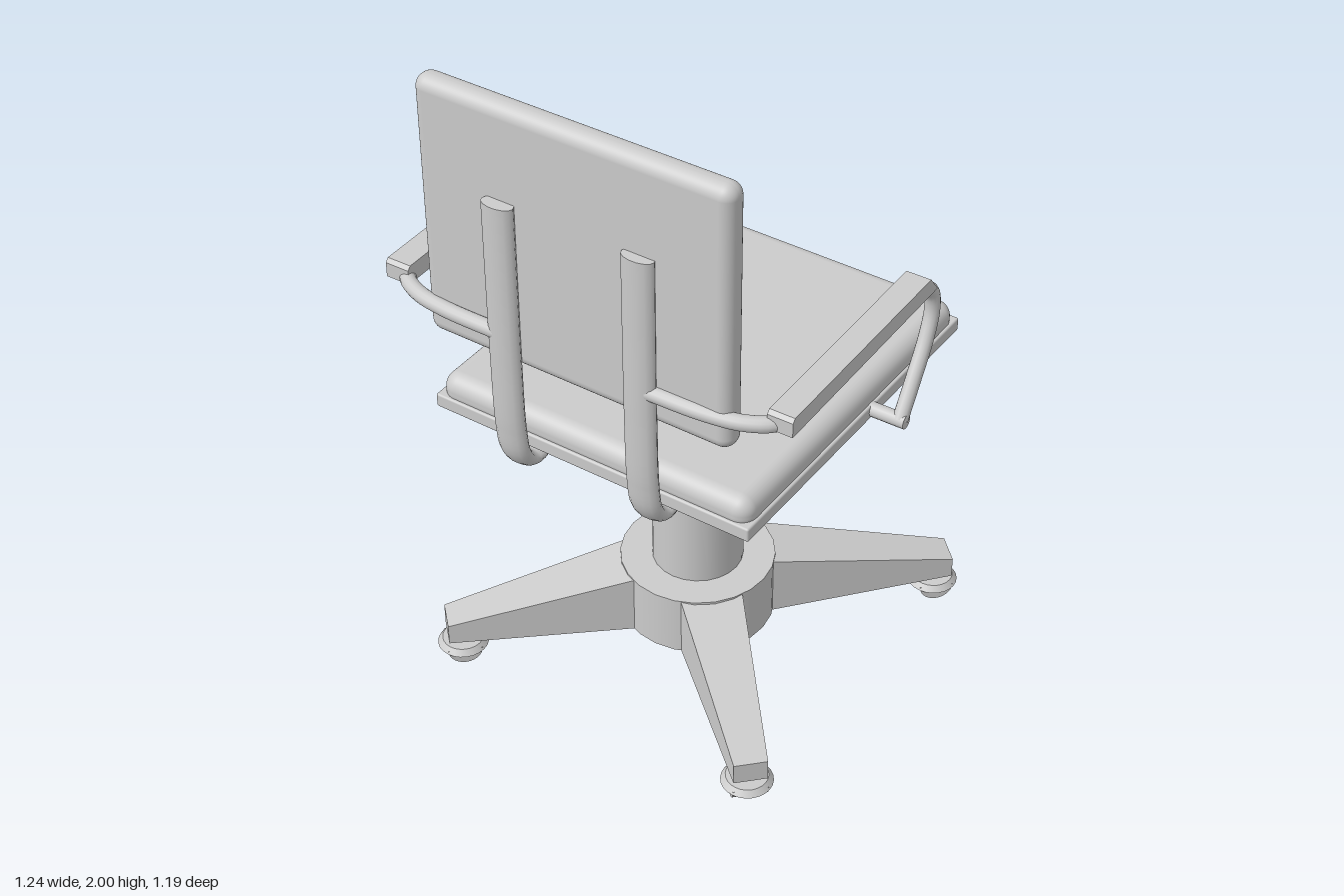
import * as THREE from 'three';
import { RoundedBoxGeometry } from 'three/addons/geometries/RoundedBoxGeometry.js';

const material = new THREE.MeshStandardMaterial({ color: 0xcccccc, side: THREE.DoubleSide });

function add(parent, name, geometry, x = 0, y = 0, z = 0) {
  const mesh = new THREE.Mesh(geometry, material);
  mesh.name = name;
  mesh.position.set(x, y, z);
  parent.add(mesh);
  return mesh;
}

function tube(points, radius, segments) {
  const curve = new THREE.CatmullRomCurve3(points.map(p => new THREE.Vector3(...p)));
  return new THREE.TubeGeometry(curve, segments, radius, 14);
}

// Leg pointing along +x: tapers in width and slopes down to its tip
function legGeometry(inner, outer) {
  const geometry = new THREE.BoxGeometry(outer - inner, 0.19, 0.18).toNonIndexed();
  geometry.translate((inner + outer) / 2, 0.175, 0);
  const p = geometry.attributes.position;
  for (let i = 0; i < p.count; i++) {
    if (p.getX(i) < (inner + outer) / 2) continue;
    p.setZ(i, p.getZ(i) * 0.53);
    if (p.getY(i) > 0.2) p.setY(i, 0.145);
  }
  geometry.computeVertexNormals();
  return geometry;
}

function createBase() {
  const base = new THREE.Group();
  base.name = 'base';
  base.position.set(0.008, 0, -0.005);
  add(base, 'hub', new THREE.CylinderGeometry(0.225, 0.225, 0.19, 24), 0, 0.175, 0);
  add(base, 'lowerColumn', new THREE.CylinderGeometry(0.132, 0.132, 0.36, 24), 0, 0.435, 0);
  add(base, 'upperColumn', new THREE.CylinderGeometry(0.104, 0.104, 0.34, 24), 0, 0.77, 0);

  // Four diagonal legs, each with a caster
  for (let i = 0; i < 4; i++) {
    const leg = new THREE.Group();
    leg.name = 'legWithCaster';
    leg.rotation.y = -0.018 + Math.PI / 4 + i * Math.PI / 2;
    const reach = i < 2 ? 0.76 : 0.74;
    add(leg, 'leg', legGeometry(0.19, reach));
    const r = reach - 0.045;
    add(leg, 'casterStem', new THREE.CylinderGeometry(0.025, 0.025, 0.04, 12), r, 0.07, 0);
    add(leg, 'casterCap', new THREE.CylinderGeometry(0.06, 0.074, 0.018, 24), r, 0.051, 0);
    // Half-round wheel below the cap
    const wheel = new THREE.CylinderGeometry(0.05, 0.05, 0.1, 14, 1, false, -Math.PI / 2, Math.PI);
    wheel.rotateX(Math.PI / 2);
    if (wheel.attributes.position.getY(0) > 0.04) wheel.rotateZ(Math.PI);
    wheel.computeBoundingBox();
    if (wheel.boundingBox.max.y > 0.02) wheel.rotateZ(Math.PI);
    add(leg, 'casterWheel', wheel, r, 0.05, 0);
    base.add(leg);
  }
  return base;
}

function createSeatAndBack() {
  const group = new THREE.Group();
  group.name = 'seatAndBack';
  group.rotation.y = -0.018;
  add(group, 'seatPlate', new RoundedBoxGeometry(1.0, 0.042, 1.085, 2, 0.006), 0.006, 0.945, -0.03);
  add(group, 'seatCushion', new RoundedBoxGeometry(0.985, 0.1, 1.07, 5, 0.046), 0.006, 0.98, -0.03);
  add(group, 'backrest', new RoundedBoxGeometry(0.935, 0.77, 0.076, 5, 0.036), 0.011, 1.615, 0.526);
  return group;
}

// Flat oval bar running from behind the backrest to under the seat
function createBackSupport(x) {
  const support = new THREE.Group();
  support.name = 'backSupport';
  support.position.x = x;
  support.scale.x = 1.9;
  add(support, 'supportBar', tube([
    [0, 1.73, 0.574], [0, 1.5, 0.574], [0, 1.25, 0.573], [0, 1.03, 0.567], [0, 0.94, 0.552],
    [0, 0.898, 0.52], [0, 0.893, 0.48], [0, 0.915, 0.42], [0, 0.935, 0.39],
  ], 0.025, 48));
  const cap = add(support, 'supportTop', new THREE.CircleGeometry(0.025, 14), 0, 1.73, 0.574);
  cap.rotation.x = -Math.PI / 2;
  return support;
}

function createArm(side) {
  const arm = new THREE.Group();
  arm.name = side > 0 ? 'leftArm' : 'rightArm';

  // Pad with a bevelled front end
  const profile = new THREE.Shape([
    [0.525, 1.322], [0.525, 1.365], [0.515, 1.376], [-0.165, 1.376], [-0.205, 1.325],
  ].map(p => new THREE.Vector2(-p[0], p[1])));
  const pad = new THREE.ExtrudeGeometry(profile, { depth: 0.073, bevelEnabled: false });
  pad.rotateY(Math.PI / 2);
  add(arm, 'armPad', pad, side * 0.583 - 0.0365);

  // Bent tube from the back support, under the pad and down to the seat
  const path = [
    [0.2, 1.332, 0.574], [0.4, 1.332, 0.568], [0.5, 1.332, 0.548], [0.565, 1.332, 0.505],
    [0.583, 1.332, 0.42], [0.583, 1.332, 0.1], [0.583, 1.332, -0.14], [0.583, 1.315, -0.2],
    [0.583, 1.275, -0.244], [0.584, 1.215, -0.253], [0.586, 1.14, -0.225],
    [0.588, 1.04, -0.16], [0.59, 0.948, -0.095],
  ].map(([x, y, z]) => [side * x, y, z]);
  add(arm, 'armTube', tube(path, 0.022, 90));
  const stub = add(arm, 'armMount', new THREE.CylinderGeometry(0.021, 0.021, 0.15, 14), side * 0.534, 0.948, -0.095);
  stub.rotation.z = Math.PI / 2;
  return arm;
}

export function createModel() {
  const chair = new THREE.Group();
  chair.name = 'swivelChair';
  chair.add(createBase(), createSeatAndBack());
  for (const x of [-0.203, 0.21]) chair.add(createBackSupport(x));
  for (const side of [-1, 1]) chair.add(createArm(side));
  return chair;
}
